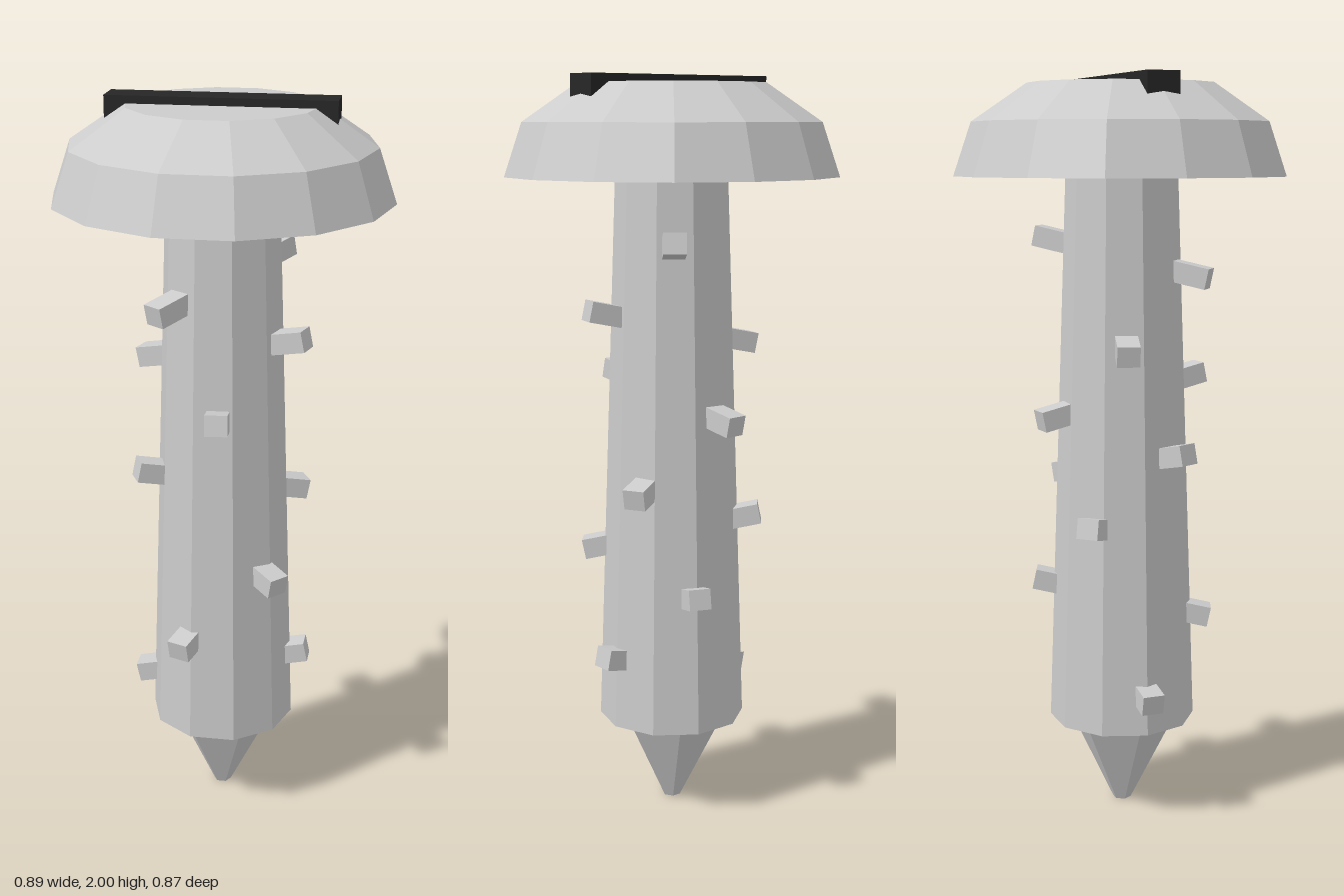
import * as THREE from 'three';

export function createModel() {
  const model = new THREE.Group();
  model.name = 'screw';
  const grey = new THREE.MeshStandardMaterial({ color: 0xcccccc, flatShading: true });
  const black = new THREE.MeshStandardMaterial({ color: 0x262626, flatShading: true });

  function add(name, geometry, material = grey) {
    const mesh = new THREE.Mesh(geometry, material);
    mesh.name = name;
    model.add(mesh);
    return mesh;
  }

  // Faceted solid of revolution with a corner on +x; profile is [radius, y] from bottom to top
  function turned(name, profile, sides) {
    const points = profile.map(([r, y]) => new THREE.Vector2(r, y));
    return add(name, new THREE.LatheGeometry(points, sides, Math.PI / 2));
  }

  turned('tip', [[0, 0], [0.025, 0], [0.15, 0.25], [0, 0.25]], 6);
  turned('shaft', [[0, 0.25], [0.2, 0.25], [0.15, 1.74], [0, 1.74]], 10);
  turned('head', [[0, 1.74], [0.445, 1.74], [0.397, 1.88], [0.25, 1.98], [0, 1.98]], 14);

  // Dark bar across the head
  add('slot', new THREE.BoxGeometry(0.59, 0.08, 0.088), black).position.y = 1.96;

  // Two opposite spirals of studs: one tilts downward, the other upward
  const stud = new THREE.BoxGeometry(0.11, 0.055, 0.06);
  const spirals = [
    { start: Math.PI, y: 0.36, tilt: -0.21 },
    { start: 0, y: 0.445, tilt: 0.21 },
  ];
  for (const { start, y, tilt } of spirals) {
    for (let k = 0; k < 7; k++) {
      const angle = start - 1.2 * k;
      const mesh = add('threadStud', stud);
      mesh.position.set(0.187 * Math.cos(angle), y + 0.1875 * k, 0.187 * Math.sin(angle));
      mesh.rotation.set(0, -angle, tilt);
    }
  }
  return model;
}
